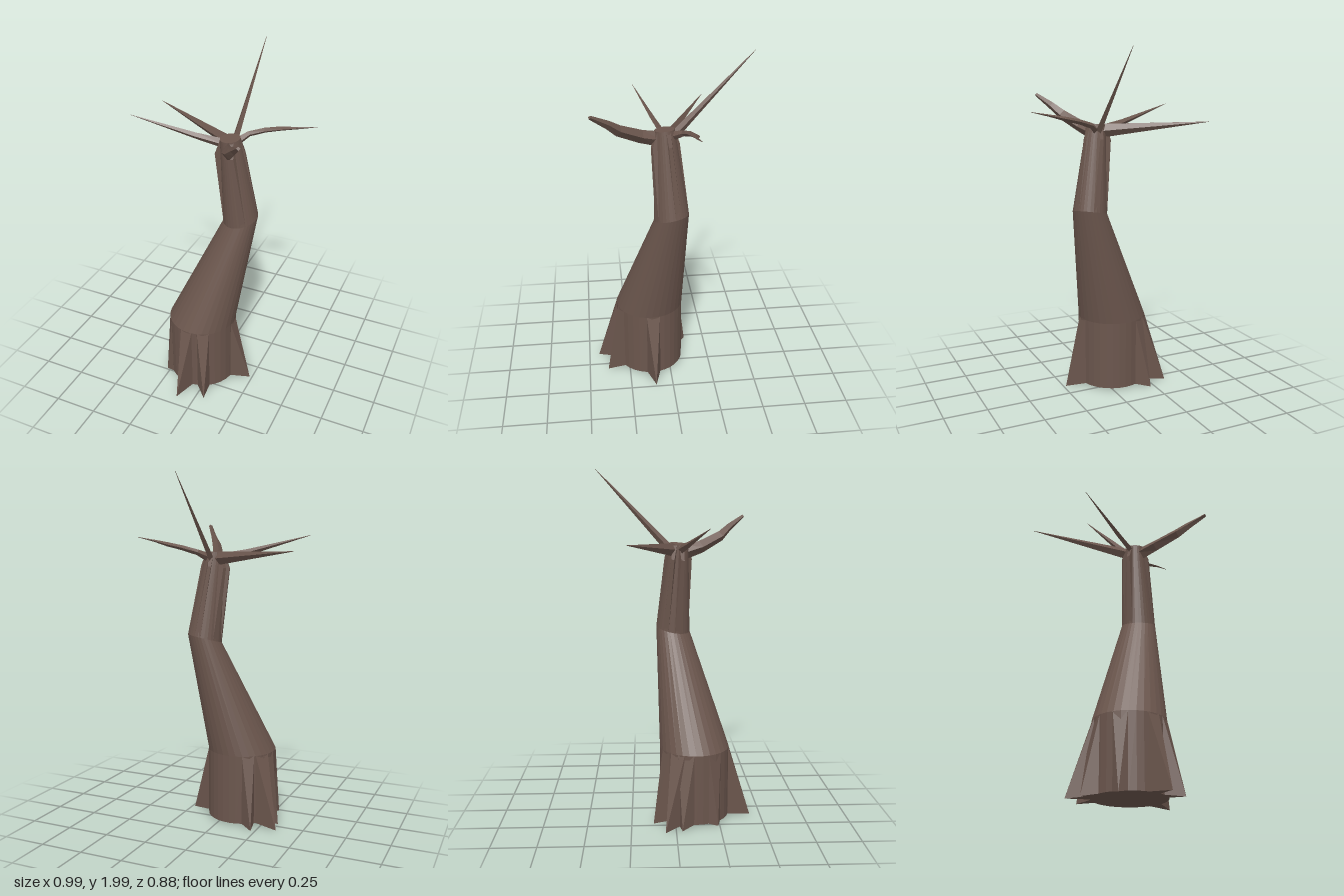
import * as THREE from 'three';
import { ConvexGeometry } from 'three/addons/geometries/ConvexGeometry.js';

const V = (x, y, z) => new THREE.Vector3(x, y, z);

// Skins a list of equal-sized rings with flat faces and closes both ends.
function loft(rings) {
  const out = [];
  const tri = (...pts) => pts.forEach((p) => out.push(p.x, p.y, p.z));
  const n = rings[0].length;
  for (let r = 0; r < rings.length - 1; r++) {
    const a = rings[r], b = rings[r + 1];
    for (let i = 0; i < n; i++) {
      const j = (i + 1) % n;
      tri(a[i], a[j], b[j]);
      tri(a[i], b[j], b[i]);
    }
  }
  const first = rings[0], last = rings[rings.length - 1];
  for (let i = 1; i < n - 1; i++) {
    tri(first[0], first[i + 1], first[i]);
    tri(last[0], last[i], last[i + 1]);
  }
  const g = new THREE.BufferGeometry();
  g.setAttribute('position', new THREE.Float32BufferAttribute(out, 3));
  g.computeVertexNormals();
  return g;
}

// Trunk sections: centre, radius, tilt along x and z.
const SECTIONS = [
  { c: [-0.075, 0.01, 0.115], r: 0.2, tilt: 0 },
  { c: [-0.075, 0.415, 0.115], r: 0.2, tilt: 0 },
  { c: [0.115, 1.08, -0.002], r: 0.098, tilt: 0.18 },
  { c: [0.06, 1.575, 0.03], r: 0.055, tilt: 0.08 },
];

function trunkPoint({ c, r, tilt }, angle, scale = 1) {
  const x = Math.cos(angle) * r * scale, z = -Math.sin(angle) * r * scale;
  return V(c[0] + x, c[1] + tilt * (x - z), c[2] + z);
}

function trunkGeometry(sides = 32) {
  return loft(SECTIONS.map((s) =>
    Array.from({ length: sides }, (_, i) => trunkPoint(s, (i / sides) * Math.PI * 2))));
}

// Root: a strip of the trunk pulled out to a point on the ground.
function rootGeometry([x, z, half]) {
  const [low, high] = SECTIONS;
  const angle = Math.atan2(-(z - low.c[2]), x - low.c[0]);
  const pts = [V(x, 0, z)];
  for (const s of [low, high]) {
    pts.push(trunkPoint(s, angle - half), trunkPoint(s, angle + half), trunkPoint(s, angle, 0.9));
  }
  return new ConvexGeometry(pts);
}

// Branch: diamond sections along a path; each step is x, y, z, half width, half height.
function branchGeometry(path) {
  const points = path.map((p) => V(p[0], p[1], p[2]));
  return loft(points.map((p, i) => {
    const d = points[Math.min(i + 1, points.length - 1)].clone()
      .sub(points[Math.max(i - 1, 0)]).normalize();
    const side = V(0, 1, 0).cross(d).normalize();
    const up = d.clone().cross(side);
    const [, , , w, h] = path[i];
    return [[w, 0], [0, h], [-w, 0], [0, -h]].map(([a, b]) =>
      p.clone().addScaledVector(side, a).addScaledVector(up, b));
  }));
}

// Ridge running up the trunk into the foot of a branch.
function ridgeGeometry([x, , z]) {
  const [, , mid, top] = SECTIONS;
  const angle = Math.atan2(-(z - top.c[2]), x - top.c[0]);
  const pts = [trunkPoint(mid, angle, 0.9), trunkPoint(top, angle, 0.8)];
  for (const s of [-1, 1]) {
    pts.push(trunkPoint(mid, angle + s * 0.17), trunkPoint(top, angle + s * 0.25, 0.98));
    const foot = trunkPoint(top, angle + s * 0.12, 1.5);
    foot.y -= 0.085;
    pts.push(foot);
  }
  return new ConvexGeometry(pts);
}

// Root tips: x, z, half angle of the foot.
const ROOTS = [
  [-0.355, -0.06, 0.22], [-0.225, -0.125, 0.18], [0.235, 0.1, 0.2],
  [0.05, 0.385, 0.18], [-0.105, 0.44, 0.18], [-0.27, 0.24, 0.2], [-0.335, 0.035, 0.24],
];

const BRANCHES = {
  backBranch: [[0.066, 1.53, -0.01, 0.018, 0.026], [0.07, 1.99, -0.44, 0.001, 0.001]],
  rightBackBranch: [[0.04, 1.54, 0, 0.024, 0.038], [-0.5, 1.59, -0.255, 0.001, 0.001]],
  rightFrontBranch: [[0.03, 1.54, 0.035, 0.016, 0.028], [-0.12, 1.575, 0.075, 0.014, 0.018],
    [-0.46, 1.67, 0.165, 0.001, 0.001]],
  leftBranch: [[0.085, 1.545, -0.01, 0.02, 0.025], [0.13, 1.575, -0.062, 0.014, 0.016],
    [0.21, 1.6, -0.09, 0.018, 0.014], [0.3, 1.62, -0.105, 0.02, 0.012],
    [0.39, 1.64, -0.1, 0.006, 0.006], [0.49, 1.66, -0.11, 0.001, 0.001]],
  frontBranch: [[0.065, 1.525, 0.06, 0.028, 0.042], [0.1, 1.555, 0.16, 0.03, 0.036],
    [0.165, 1.615, 0.28, 0.026, 0.03], [0.21, 1.665, 0.335, 0.016, 0.022],
    [0.272, 1.728, 0.423, 0.011, 0.01]],
};

export function createModel() {
  const model = new THREE.Group();
  model.name = 'deadTree';
  const bark = new THREE.MeshStandardMaterial({ color: 0x6b564d });
  bark.name = 'bark brown';
  const add = (name, geometry) => {
    const mesh = new THREE.Mesh(geometry, bark);
    mesh.name = name;
    model.add(mesh);
  };

  add('trunk', trunkGeometry());
  ROOTS.forEach((root, i) => add(`root${i + 1}`, rootGeometry(root)));
  for (const [name, path] of Object.entries(BRANCHES)) {
    add(name, branchGeometry(path));
    add(`${name}Ridge`, ridgeGeometry(path[path.length - 1]));
  }
  return model;
}
